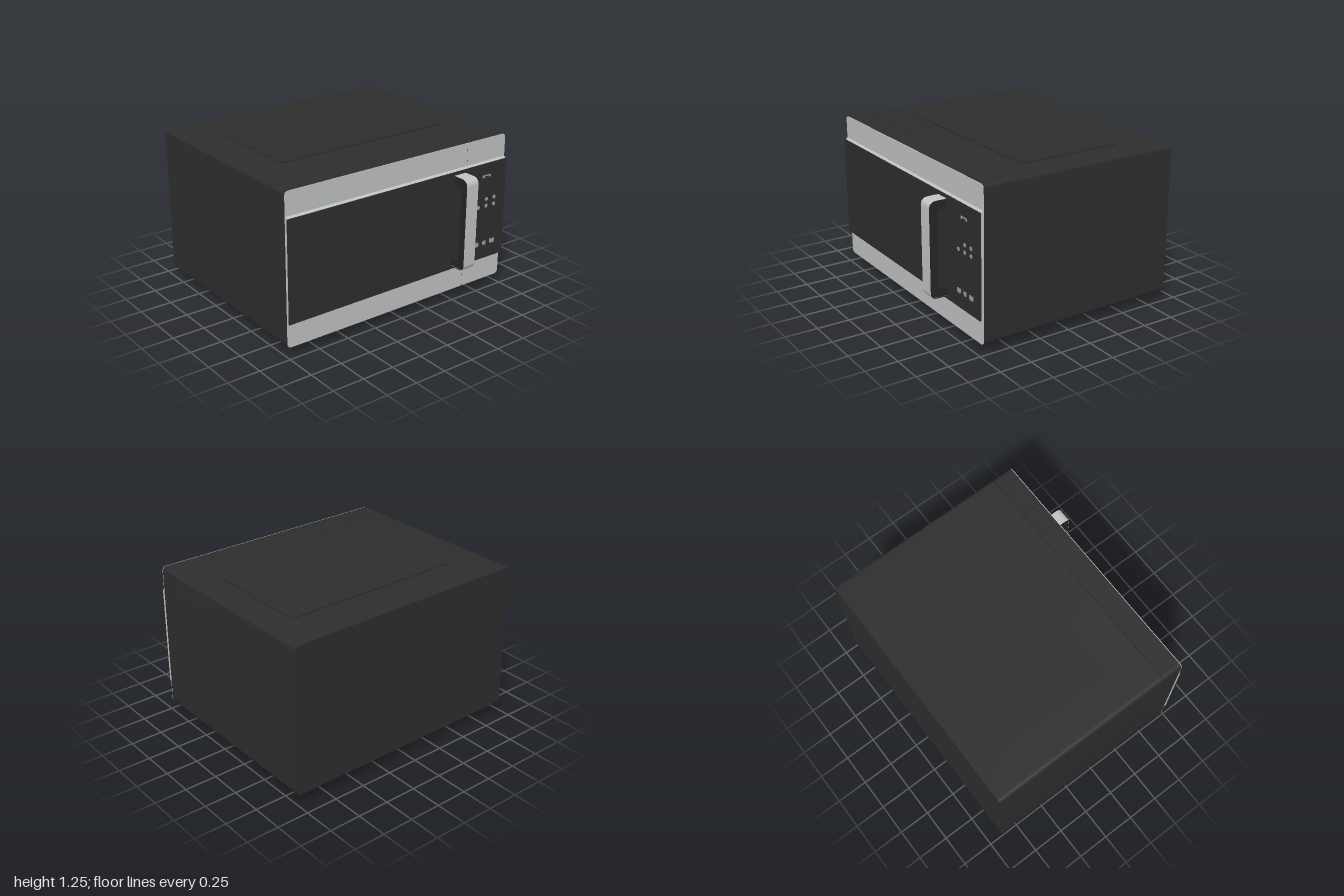
import * as THREE from 'three';
import { toCreasedNormals } from 'three/addons/utils/BufferGeometryUtils.js';

const mat = (name, color) => new THREE.MeshStandardMaterial({ name, color });

// Rectangle with one radius per corner: bottom left, bottom right, top right, top left
function rect(x0, y0, x1, y1, [bl, br, tr, tl] = [0, 0, 0, 0], s = new THREE.Shape()) {
  s.moveTo(x0 + bl, y0).lineTo(x1 - br, y0);
  if (br) s.quadraticCurveTo(x1, y0, x1, y0 + br);
  s.lineTo(x1, y1 - tr);
  if (tr) s.quadraticCurveTo(x1, y1, x1 - tr, y1);
  s.lineTo(x0 + tl, y1);
  if (tl) s.quadraticCurveTo(x0, y1, x0, y1 - tl);
  s.lineTo(x0, y0 + bl);
  if (bl) s.quadraticCurveTo(x0, y0, x0 + bl, y0);
  return s;
}

const extrude = (shape, depth) => toCreasedNormals(
  new THREE.ExtrudeGeometry(shape, { depth, bevelEnabled: false, curveSegments: 8 }), 0.6);

export function createModel() {
  const model = new THREE.Group();
  model.name = 'microwave';
  const black = mat('black casing', 0x2d2d2d);
  const steel = mat('brushed steel', 0xbfc3c1);
  const dark = mat('dark plastic', 0x252525);
  const grey = mat('icon grey', 0x9c9c9c);

  const add = (name, geometry, material, x = 0, y = 0, z = 0) => {
    const mesh = new THREE.Mesh(geometry, material);
    mesh.name = name;
    mesh.position.set(x, y, z);
    model.add(mesh);
    return mesh;
  };
  // Slab with its outline in x and y, running from z0 to z1
  const slab = (name, shape, z0, z1, material) => add(name, extrude(shape, z1 - z0), material, 0, 0, z0);

  // Casing, with a recessed core behind the seams
  const r = 0.035, Y0 = 0.075, Y1 = 1.235;
  slab('casing', rect(-1, Y0, 1, Y1, [r, r, r, r]), -0.89, 0.547, black);
  slab('seamCore', rect(-0.99, Y0 + 0.01, 0.99, Y1 - 0.01, [r, r, r, r]), 0.54, 0.71, dark);

  // Door and control panel share one layered construction
  const sections = [
    { name: 'door', x0: -1, x1: 0.617, left: r, right: 0 },
    { name: 'controlPanel', x0: 0.623, x1: 1, left: 0, right: r },
  ];
  for (const { name, x0, x1, left, right } of sections) {
    const corners = [left, right, right, left];
    slab(name + 'Frame', rect(x0, Y0, x1, Y1, corners), 0.553, 0.718, black);
    slab(name + 'SteelFace', rect(x0, Y0, x1, Y1, corners), 0.718, 0.723, steel);
    // Raised steel step with sloping edges, profile in z and y
    const step = new THREE.Shape([
      [0.72, 0.25], [0.74, 0.268], [0.74, 1.042], [0.72, 1.06],
    ].map(([z, y]) => new THREE.Vector2(-z, y)));
    const stepMesh = add(name + 'SteelStep', extrude(step, x1 - x0), steel, x0);
    stepMesh.rotation.y = Math.PI / 2;
    slab(name + 'Glass', rect(x0, 0.266, x1, 1.044), 0.739, 0.749, black);
  }

  // Raised panel on the roof
  const roof = add('roofPanel', extrude(rect(-0.72, -0.27, 0.78, 0.57, [0.04, 0.04, 0.04, 0.04]), 0.015), black, 0, 1.23);
  roof.rotation.x = -Math.PI / 2;

  // Handle: dark bracket, outline in -z and y, extruded along x
  const bracket = rect(-0.882, 0.302, -0.745, 1.013, [0.05, 0, 0, 0.05]);
  bracket.holes.push(rect(-0.828, 0.352, -0.746, 0.957, [0.045, 0, 0, 0.045], new THREE.Path()));
  const core = add('handleCore', extrude(bracket, 0.108), dark, 0.472);
  core.rotation.y = Math.PI / 2;

  // Steel strip wrapped round the outside of the handle
  const strip = new THREE.Shape();
  strip.moveTo(-0.749, 1.02).lineTo(-0.833, 1.02).quadraticCurveTo(-0.889, 1.02, -0.889, 0.965)
    .lineTo(-0.889, 0.35).quadraticCurveTo(-0.889, 0.295, -0.833, 0.295).lineTo(-0.749, 0.295)
    .lineTo(-0.749, 0.302).lineTo(-0.832, 0.302).quadraticCurveTo(-0.882, 0.302, -0.882, 0.352)
    .lineTo(-0.882, 0.963).quadraticCurveTo(-0.882, 1.013, -0.832, 1.013).lineTo(-0.749, 1.013);
  const stripMesh = add('handleStrip', extrude(strip, 0.112), [dark, steel], 0.47);
  stripMesh.rotation.y = Math.PI / 2;

  // Control icons: display mark, round keys and flat-topped keys
  const iconZ = 0.747;
  const box = (w, h) => new THREE.BoxGeometry(w, h, 0.006);
  add('displayMark', box(0.08, 0.01), grey, 0.8, 0.95, iconZ + 0.001);
  for (const x of [0.77, 0.835]) add('displayTick', box(0.02, 0.012), grey, x, 0.94, iconZ + 0.001);
  const key = new THREE.CylinderGeometry(0.016, 0.016, 0.006, 12).rotateX(Math.PI / 2);
  for (const [x, y] of [[0.81, 0.757], [0.89, 0.757], [0.73, 0.702], [0.81, 0.702], [0.89, 0.702]]) {
    add('key', key, grey, x, y, iconZ + 0.001);
  }
  [[0.73, 0.024], [0.81, 0.018], [0.89, 0.026]].forEach(([x, w]) => {
    slab('lowerKey', rect(x - w, 0.376, x + w, 0.412, [0.016, 0.016, 0.004, 0.004]), iconZ, 0.751, grey);
  });

  // Base plate under the casing
  const base = add('basePlate', extrude(rect(-0.925, -0.5, 0.92, 0.85, [0.05, 0.05, 0.05, 0.05]), 0.02), dark, 0, 0.063);
  base.rotation.x = -Math.PI / 2;

  // Four domed feet, each with a small centre stud
  const footProfile = [[0, 0], [0.013, 0], [0.013, 0.02], [0.06, 0.02], [0.083, 0.026], [0.095, 0.042], [0.095, 0.066]]
    .map(([x, y]) => new THREE.Vector2(x, y));
  const foot = toCreasedNormals(new THREE.LatheGeometry(footProfile, 28), 0.7);
  for (const x of [-0.79, 0.765]) for (const z of [0.35, -0.69]) add('foot', foot, dark, x, 0, z);

  return model;
}
